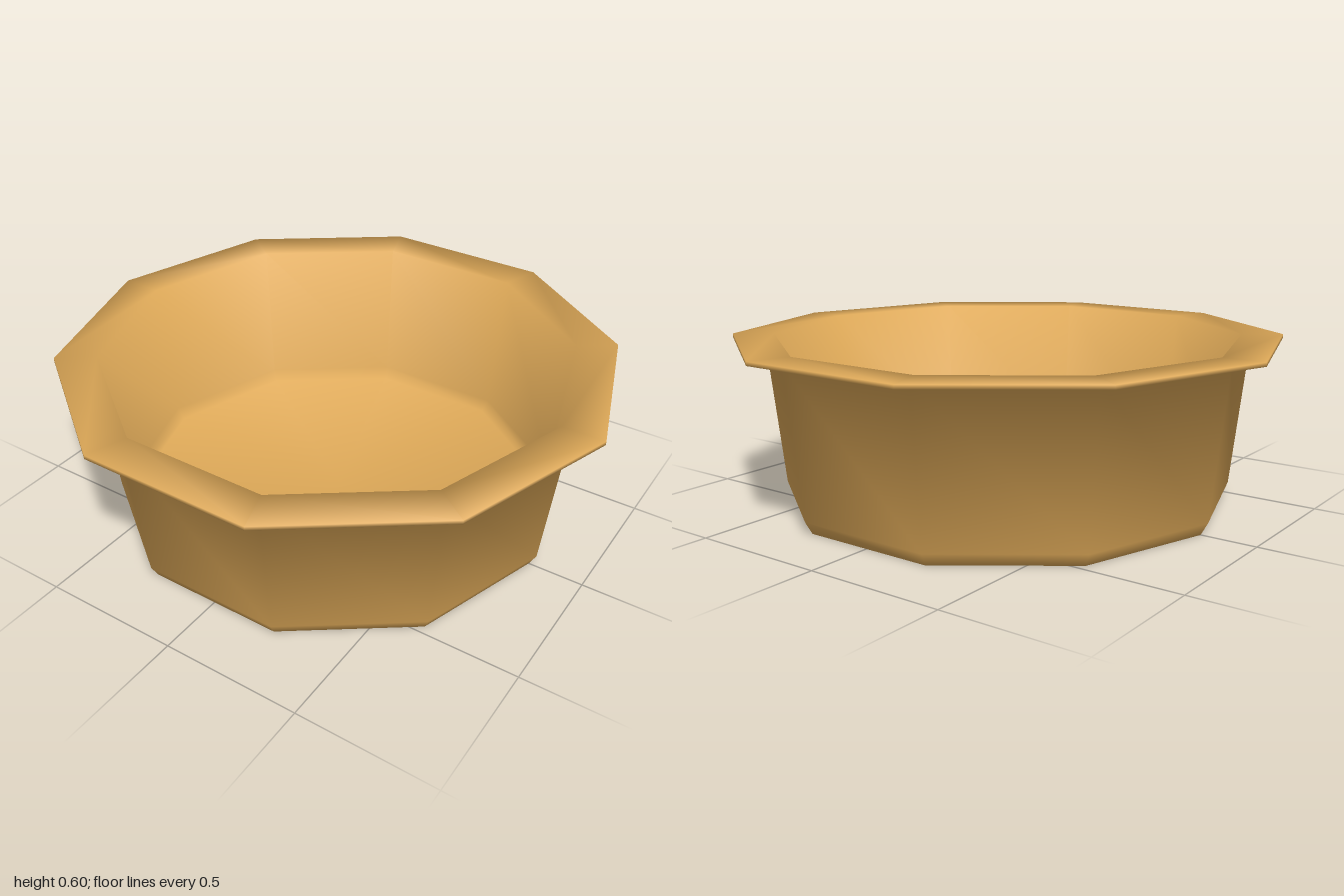
import * as THREE from 'three';

const SIDES = 10;

// Closed section of the pan, from under the base, over the rim, to the inner floor
const SECTION = [
  [0, 0], [0.8, 0], [0.825, 0.045],          // base and its bevel
  [0.885, 0.59], [1, 0.59],                  // outer wall, underside of rim
  [1, 0.604], [0.85, 0.604],                 // rim edge and top
  [0.8, 0.07], [0.77, 0.03], [0, 0.03],      // inner wall and floor
].map(([r, y]) => new THREE.Vector2(r, y));

// Soften every edge evenly: each ring takes the mean of its two face directions
function softenRings(geometry, points) {
  const faces = points.slice(1).map((p, i) => {
    const d = p.clone().sub(points[i]).normalize();
    return new THREE.Vector2(d.y, -d.x);
  });
  const rings = points.map((_, i) => {
    const a = faces[Math.max(i - 1, 0)];
    const b = faces[Math.min(i, faces.length - 1)];
    return a.clone().add(b).normalize();
  });
  const normal = geometry.attributes.normal;
  for (let s = 0; s <= SIDES; s++) {
    const angle = Math.PI / 2 + (s / SIDES) * Math.PI * 2;
    rings.forEach((n, j) => normal.setXYZ(
      s * points.length + j, n.x * Math.sin(angle), n.y, n.x * Math.cos(angle)));
  }
  return geometry;
}

export function createModel() {
  const group = new THREE.Group();
  group.name = 'pan';

  const crust = new THREE.MeshStandardMaterial({ color: 0xdea958 });
  crust.name = 'golden tan';

  // Ten-sided dish with a corner on the x axis
  const geometry = new THREE.LatheGeometry(SECTION, SIDES, Math.PI / 2);
  const dish = new THREE.Mesh(softenRings(geometry, SECTION), crust);
  dish.name = 'dish';
  group.add(dish);

  return group;
}
